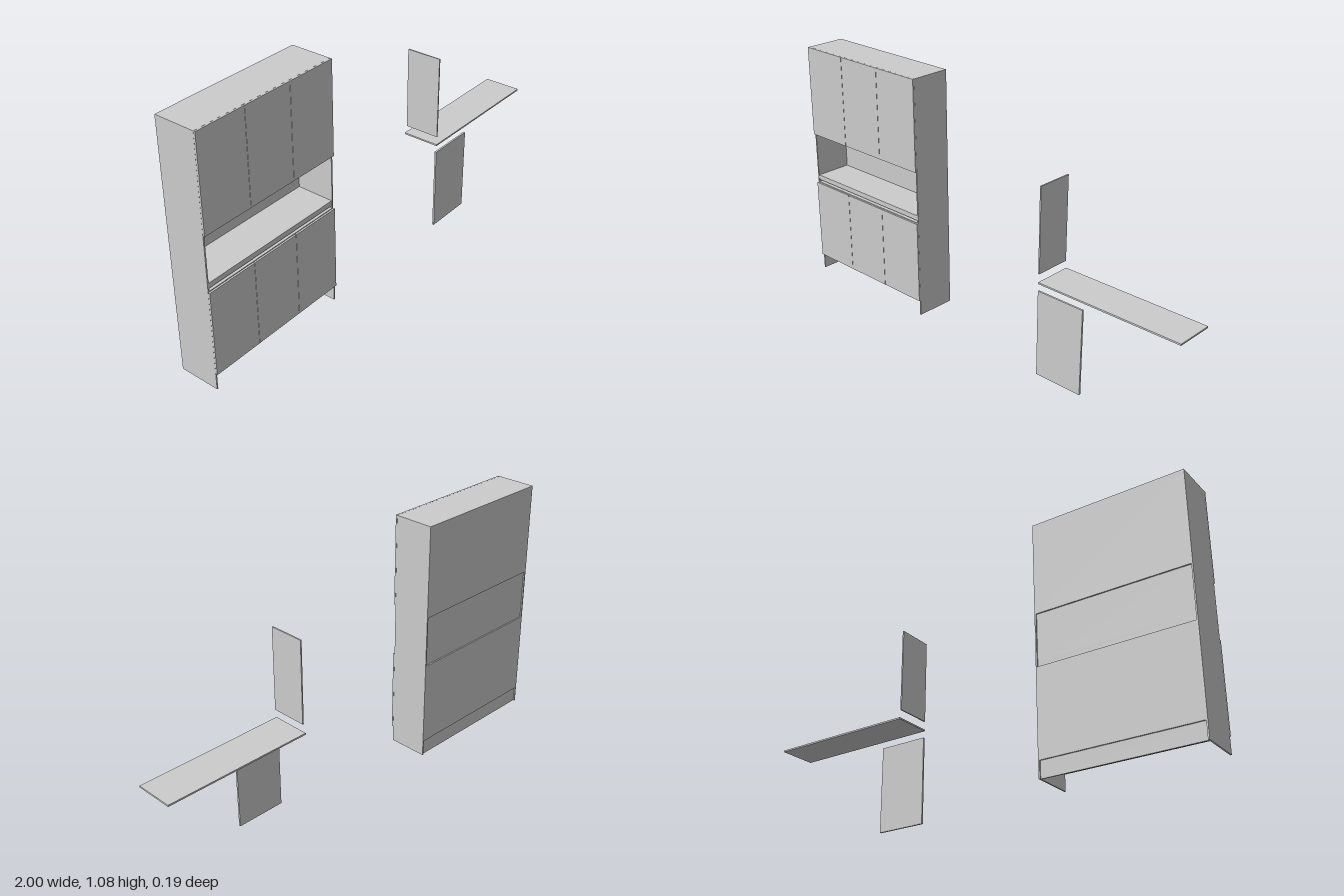
import * as THREE from 'three';

export function createModel() {
  const model = new THREE.Group();
  const material = new THREE.MeshStandardMaterial({ color: 0xcccccc, flatShading: true });

  // Adds a board to a group from its lower and upper bounds on each axis
  function board(parent, name, [x0, x1], [y0, y1], [z0, z1]) {
    const mesh = new THREE.Mesh(new THREE.BoxGeometry(x1 - x0, y1 - y0, z1 - z0), material);
    mesh.position.set((x0 + x1) / 2, (y0 + y1) / 2, (z0 + z1) / 2);
    mesh.name = name;
    parent.add(mesh);
  }

  const cabinet = new THREE.Group();
  cabinet.name = 'cabinet';
  const spareParts = new THREE.Group();
  spareParts.name = 'spareParts';
  model.add(cabinet, spareParts);

  const left = -1, right = -0.333, height = 1.075;
  const t = 0.006; // board thickness
  const back = -0.093, front = 0.085, doorFront = 0.093;
  const inner = [left + t, right - t];
  const depth = [back + t, front];

  // Side panels reach the floor and form the feet
  board(cabinet, 'rightSidePanel', [left, left + t], [0, height], [back, front]);
  board(cabinet, 'leftSidePanel', [right - t, right], [0, height], [back, front]);

  // Horizontal boards
  board(cabinet, 'bottomPanel', inner, [0.071, 0.078], depth);
  board(cabinet, 'lowerCupboardTop', inner, [0.436, 0.442], depth);
  board(cabinet, 'nicheFloor', inner, [0.452, 0.474], [back + t, front - 0.002]);
  board(cabinet, 'nicheCeiling', inner, [0.674, 0.681], depth);
  board(cabinet, 'topPanel', inner, [height - t, height], [back, front]);

  // Back boards: cupboards flush, niche and plinth set in
  board(cabinet, 'lowerBackPanel', inner, [0.071, 0.446], [back, back + t]);
  board(cabinet, 'upperBackPanel', inner, [0.672, height - t], [back, back + t]);
  board(cabinet, 'nicheBackPanel', inner, [0.446, 0.674], [back + t, back + 2 * t]);
  board(cabinet, 'plinth', inner, [0, 0.071], [back + t, back + 2 * t]);

  // Three doors per cupboard, with dividers and a shelf behind them
  const pitch = (right - left) / 3, gap = 0.0015;
  for (const [level, y0, y1] of [['lower', 0.071, 0.439], ['upper', 0.674, height]]) {
    for (let i = 0; i < 3; i++) {
      const x = left + i * pitch;
      board(cabinet, level + 'Door', [x + (i ? gap / 2 : 0), x + pitch - (i < 2 ? gap / 2 : 0)],
        [y0, y1], [front + 0.0005, doorFront]);
      if (i) board(cabinet, level + 'Divider', [x - t / 2, x + t / 2], [y0 + 0.007, y1 - t], [back + t, front - 0.01]);
    }
    const mid = (y0 + y1) / 2;
    board(cabinet, level + 'Shelf', inner, [mid - t / 2, mid + t / 2], [-0.075, 0.075]);
  }

  // Loose boards beside the cabinet
  board(spareParts, 'spareDoor', [0.343, 0.563], [0, 0.375], [0.085, 0.093]);
  board(spareParts, 'spareShelf', [0.343, 1], [0.406, 0.413], [-0.075, 0.093]);
  board(spareParts, 'spareDivider', [0.343, 0.349], [0.45, 0.815], [-0.065, 0.093]);

  return model;
}
